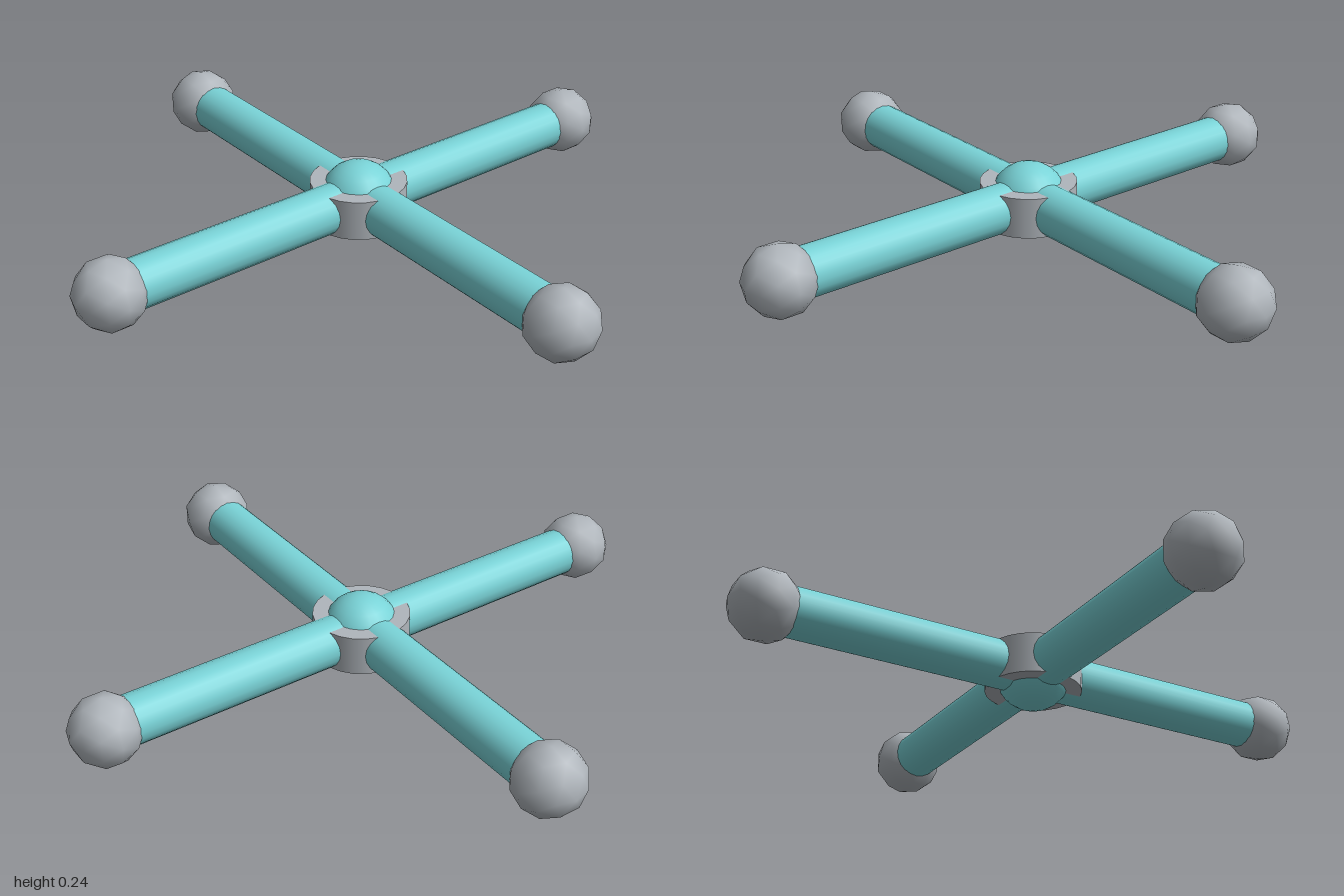
import * as THREE from 'three';

export function createModel() {
  const teal = new THREE.MeshStandardMaterial({ color: 0x79d3d7 });
  teal.name = 'teal';
  const grey = new THREE.MeshStandardMaterial({ color: 0xb0b6bc });
  grey.name = 'grey';

  const model = new THREE.Group();
  model.name = 'crossHub';
  const centreY = 0.122;

  function add(name, geometry, material, parent) {
    const mesh = new THREE.Mesh(geometry, material);
    mesh.name = name;
    parent.add(mesh);
    return mesh;
  }

  // Central hub: a ball poking out of a short collar
  const hub = new THREE.Group();
  hub.name = 'hub';
  hub.position.y = centreY;
  add('hubBall', new THREE.SphereGeometry(0.122, 20, 14), teal, hub);
  add('hubCollar', new THREE.CylinderGeometry(0.152, 0.152, 0.13, 24), grey, hub);
  model.add(hub);

  // Four identical arms, each ending in a faceted-outline ball
  const barGeometry = new THREE.CylinderGeometry(0.077, 0.077, 0.88, 20);
  barGeometry.rotateZ(-Math.PI / 2).translate(0.44, 0, 0);
  const tipGeometry = new THREE.IcosahedronGeometry(0.112, 1);
  ['left', 'back', 'right', 'front'].forEach((side, i) => {
    const arm = new THREE.Group();
    arm.name = side + 'Arm';
    arm.position.y = centreY;
    arm.rotation.y = (i * Math.PI) / 2;
    add(side + 'Bar', barGeometry, teal, arm);
    add(side + 'TipBall', tipGeometry, grey, arm).position.x = 0.888;
    model.add(arm);
  });

  return model;
}
